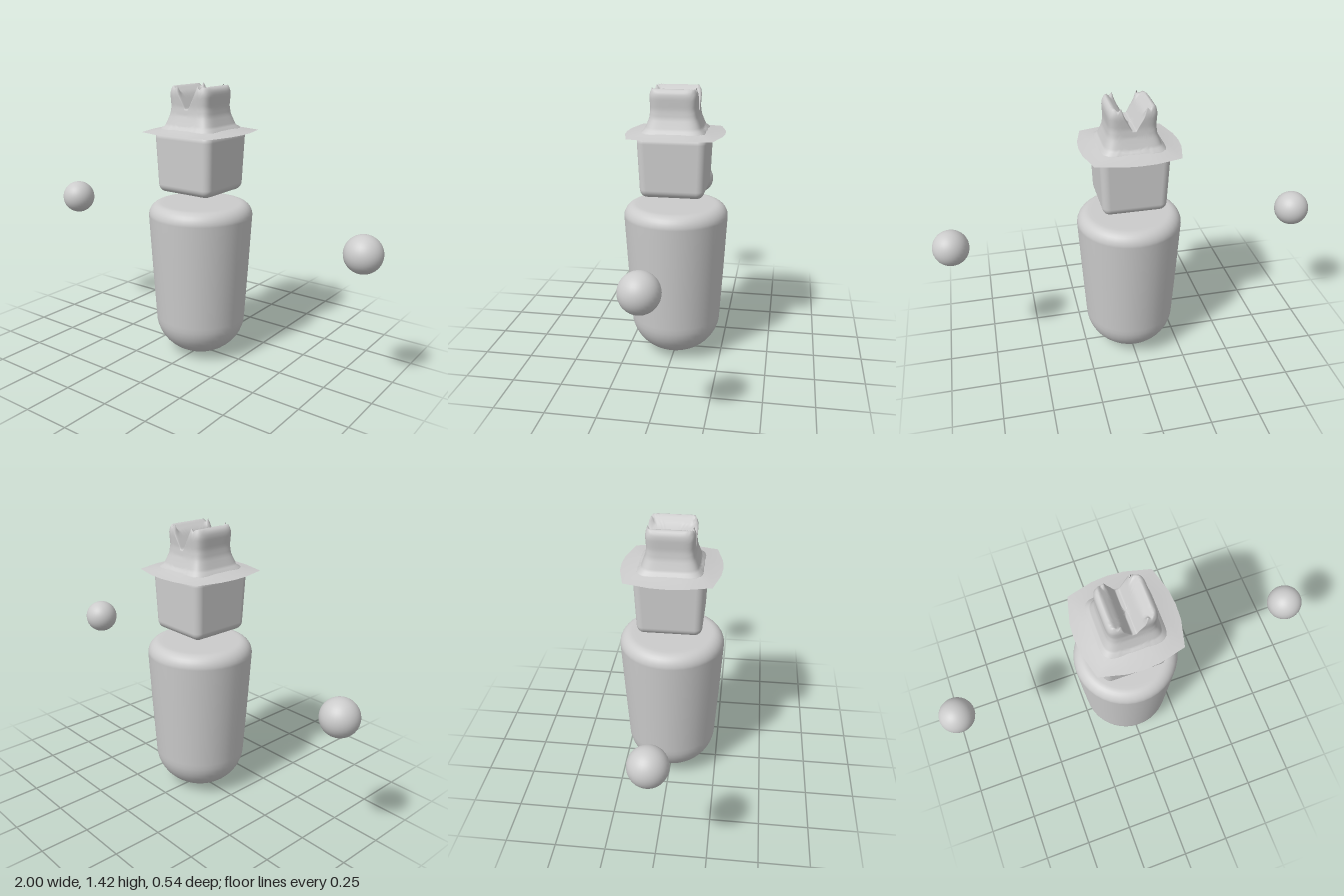
import * as THREE from 'three';
import { RoundedBoxGeometry } from 'three/addons/geometries/RoundedBoxGeometry.js';

const material = new THREE.MeshStandardMaterial({ color: 0xcccccc, side: THREE.DoubleSide });

// Piecewise linear lookup in a list of [input, output] pairs
function lookup(table, v) {
  if (v <= table[0][0]) return table[0][1];
  for (let i = 1; i < table.length; i++) {
    const [a, p] = table[i - 1], [b, q] = table[i];
    if (v <= b) return p + (q - p) * (v - a) / (b - a);
  }
  return table[table.length - 1][1];
}

// Joins closed rings of points into a skin; rings run bottom to top
function skin(rings) {
  const n = rings[0].length, index = [];
  for (let r = 0; r < rings.length - 1; r++) {
    for (let i = 0; i < n; i++) {
      const a = r * n + i, b = r * n + (i + 1) % n, c = a + n, d = b + n;
      index.push(a, c, b, b, c, d);
    }
  }
  const g = new THREE.BufferGeometry();
  g.setAttribute('position', new THREE.Float32BufferAttribute(rings.flat(2), 3));
  g.setIndex(index);
  g.computeVertexNormals();
  return g;
}

// Unit rounded square, as a point at a given angle
function squarePoint(angle, n = 6) {
  const c = Math.cos(angle), s = Math.sin(angle);
  const r = (Math.abs(c) ** n + Math.abs(s) ** n) ** (-1 / n);
  return [c * r, s * r];
}

// Crown half width by height, and height of the creased top by distance from the crease
const crownWidth = [[1.2, 0.162], [1.213, 0.158], [1.222, 0.143], [1.25, 0.132], [1.28, 0.121],
  [1.32, 0.116], [1.38, 0.12], [1.4, 0.117], [1.42, 0.109]];
const crease = [[0.01, 1.31], [0.05, 1.385], [0.075, 1.406], [0.092, 1.42], [0.105, 1.417], [0.12, 1.395]];
const peak = [[0.046, 0], [0.063, 0.028], [0.074, 0]];

function crownGeometry() {
  const columns = 160, rows = 18, rings = [];
  const outline = Array.from({ length: columns }, (_, i) => squarePoint(i / columns * Math.PI * 2));
  const topY = (x, z) => lookup(crease, Math.abs(x)) +
    lookup(peak, Math.abs(x)) * THREE.MathUtils.smoothstep(Math.abs(z), 0.09, 0.108);
  // Flared wall rising to the notched rim
  for (let r = 0; r <= rows; r++) {
    rings.push(outline.map(([u, v]) => {
      const rim = topY(u * 0.114, v * 0.114);
      const y = 1.2 + (rim - 1.2) * r / rows, w = lookup(crownWidth, y);
      return [u * w, y, v * w];
    }));
  }
  // Valley folded into the top
  const last = rings[rows];
  for (const s of [0.94, 0.87, 0.8, 0.7, 0.6, 0.5, 0.4, 0.3, 0.2, 0.1, 0]) {
    rings.push(last.map(([x, , z]) => [x * s, topY(x * s, z * s), z * s]));
  }
  return skin(rings);
}

function brimGeometry() {
  // One quarter of the faceted edge, turned around four times
  const edge = [];
  for (let q = 0; q < 4; q++) {
    for (const [x, z] of [[0.243, -0.08], [0.249, 0], [0.243, 0.08], [0.21, 0.21]]) {
      const c = Math.round(Math.cos(q * Math.PI / 2)), s = Math.round(Math.sin(q * Math.PI / 2));
      edge.push([x * c - z * s, x * s + z * c]);
    }
  }
  const ring = (w, y) => edge.map(([x, z]) => {
    const [u, v] = squarePoint(Math.atan2(z, x));
    return [u * w, y, v * w];
  });
  return skin([edge.map(([x, z]) => [x, 1.193, z]), ring(0.185, 1.201), ring(0.158, 1.211), ring(0.13, 1.213)]);
}

export function createModel() {
  const group = new THREE.Group();
  const add = (name, geometry) => {
    const mesh = new THREE.Mesh(geometry, material);
    mesh.name = name;
    group.add(mesh);
    return mesh;
  };

  // Capsule-like body: round below, slightly flared, flat bevelled top
  const profile = [];
  for (let i = 0; i <= 12; i++) {
    const a = i / 12 * Math.PI / 2;
    profile.push(new THREE.Vector2(0.236 * Math.sin(a), 0.21 - 0.208 * Math.cos(a)));
  }
  profile.push(new THREE.Vector2(0.253, 0.48));
  for (let i = 0; i <= 8; i++) {
    const a = i / 8 * Math.PI / 2;
    profile.push(new THREE.Vector2(0.208 + 0.061 * Math.cos(a), 0.76 + 0.065 * Math.sin(a)));
  }
  profile.push(new THREE.Vector2(0.19, 0.825), new THREE.Vector2(0, 0.825));
  add('body', new THREE.LatheGeometry(profile, 40));

  // Rounded head, narrower toward the chin
  const head = new RoundedBoxGeometry(0.346, 0.315, 0.346, 5, 0.04);
  const p = head.attributes.position;
  for (let i = 0; i < p.count; i++) {
    const s = 0.965 + p.getY(i) * 0.23;
    p.setX(i, p.getX(i) * s);
    p.setZ(i, p.getZ(i) * s);
  }
  add('head', head).position.y = 1.045;

  add('hatBrim', brimGeometry());
  add('hatCrown', crownGeometry());

  // Floating hands
  for (const [name, side] of [['leftHand', 1], ['rightHand', -1]]) {
    add(name, new THREE.SphereGeometry(0.091, 32, 20)).position.set(side * 0.909, 0.72, 0);
  }
  return group;
}
